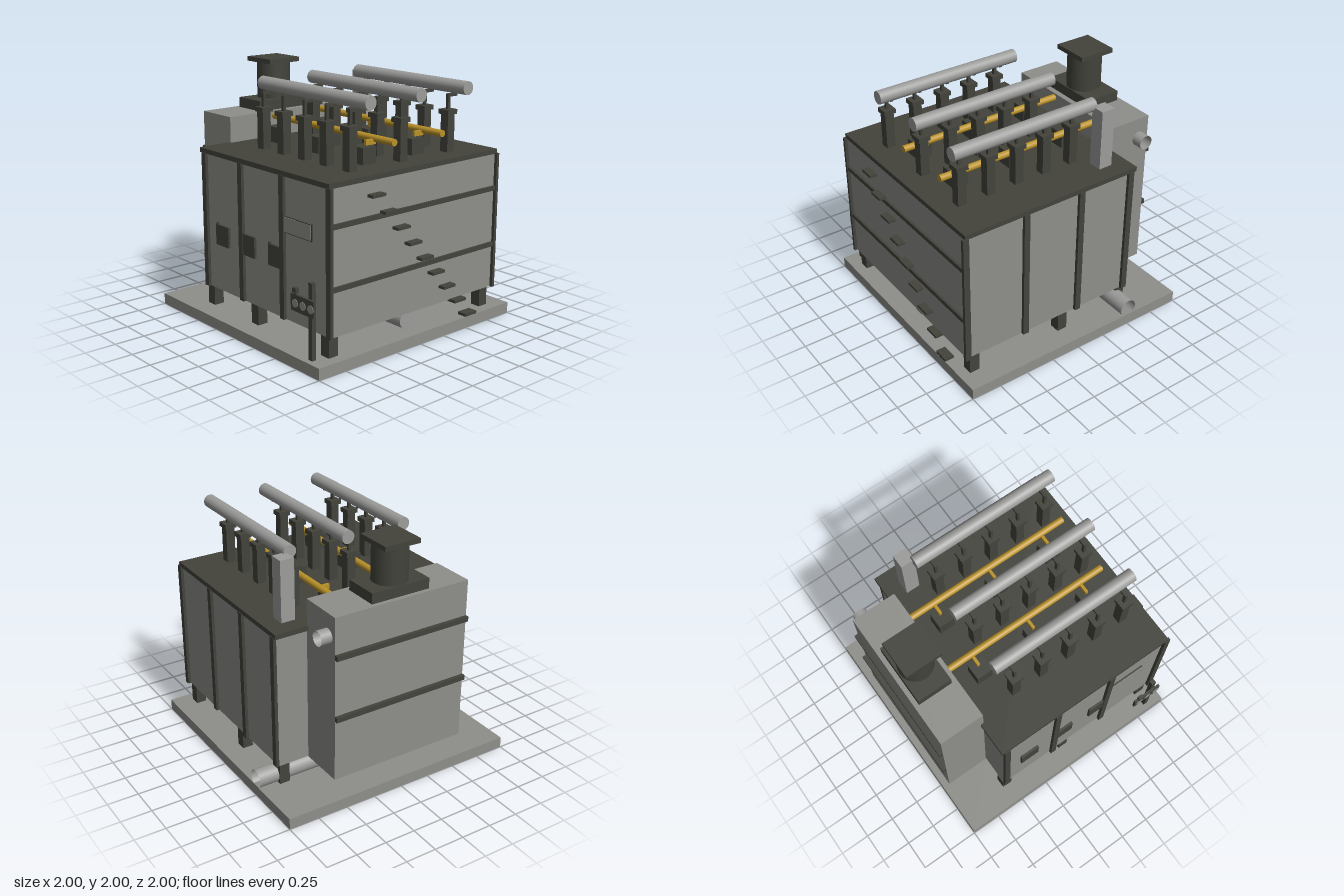
import * as THREE from 'three';

export function createModel() {
  const group = new THREE.Group();
  const mat = (name, color) => {
    const m = new THREE.MeshStandardMaterial({ color });
    m.name = name;
    return m;
  };
  const panel = mat('panelGrey', 0x8e8f8a);
  const dark = mat('darkSteel', 0x43433c);
  const pipe = mat('pipeGrey', 0x9c9d9b);
  const yellow = mat('yellowGas', 0xba9229);
  const openPipe = mat('openPipeGrey', 0x9c9d9b);
  openPipe.side = THREE.DoubleSide;

  const add = (name, geometry, material) => {
    const mesh = new THREE.Mesh(geometry, material);
    mesh.name = name;
    group.add(mesh);
    return mesh;
  };
  // Box given by its limits on each axis
  const box = (name, m, x0, x1, y0, y1, z0, z1) => {
    const mesh = add(name, new THREE.BoxGeometry(x1 - x0, y1 - y0, z1 - z0), m);
    mesh.position.set((x0 + x1) / 2, (y0 + y1) / 2, (z0 + z1) / 2);
    return mesh;
  };
  // Round tube along one axis, centred on x, y, z
  const tube = (name, m, axis, r, length, x, y, z, open = false) => {
    const g = new THREE.CylinderGeometry(r, r, length, 24, 1, open);
    if (axis === 'x') g.rotateZ(-Math.PI / 2);
    if (axis === 'z') g.rotateX(Math.PI / 2);
    const mesh = add(name, g, m);
    mesh.position.set(x, y, z);
    return mesh;
  };

  // Base: deck plate, dark underside and a three by three beam frame
  box('deck', panel, -1, 1, 0.075, 0.09, -1, 1);
  box('deckUnderside', dark, -0.97, 0.97, 0.066, 0.075, -0.97, 0.97);
  for (const s of [-1, 1]) {
    const a = s < 0 ? -1 : 0.965;
    box('edgeBeam', panel, a, a + 0.035, 0, 0.075, -1, 1);
    box('edgeBeam', panel, -0.965, 0.965, 0, 0.075, a, a + 0.035);
    const c = s * 0.33;
    box('crossBeam', panel, c - 0.02, c + 0.02, 0, 0.075, -0.965, 0.965);
    box('crossBeam', panel, -0.965, 0.965, 0.001, 0.075, c - 0.02, c + 0.02);
  }

  // Legs
  for (const x of [-0.5425, 0.04, 0.87]) {
    for (const z of [-0.793, 0.793]) {
      box('leg', dark, x - 0.0425, x + 0.0425, 0.062, 0.25, z - 0.0425, z + 0.0425);
    }
  }

  // Furnace housing, roof and wall stiffeners
  box('housing', panel, -0.58, 0.94, 0.25, 1.34, -0.84, 0.84);
  box('roof', dark, -0.61, 0.945, 1.34, 1.378, -0.86, 0.86);
  for (const s of [-1, 1]) {
    for (const x of [-0.56, -0.0875, 0.415, 0.94]) {
      box('wallPost', dark, x - 0.025, x + 0.025, 0.25, 1.345, s * 0.852 - 0.013, s * 0.852 + 0.013);
    }
  }
  for (const y of [0.61, 1.068]) {
    box('sideRail', dark, 0.93, 0.96, y - 0.018, y + 0.018, -0.84, 0.84);
  }

  // Inspection doors with small latches
  for (const x of [-0.3375, -0.0025, 0.3325]) {
    box('inspectionDoor', dark, x - 0.0825, x + 0.0825, 0.63, 0.795, 0.83, 0.86);
    box('doorLatch', dark, x - 0.078, x - 0.064, 0.795, 0.808, 0.83, 0.855);
  }
  // Blank identification plate
  box('plateBacking', dark, 0.44, 0.75, 0.92, 1.045, 0.835, 0.852);
  box('plateFace', panel, 0.44, 0.743, 0.927, 1.039, 0.85, 0.856);

  // Steps descending along the right wall
  for (let i = 0; i < 9; i++) {
    const y = 1.235 - i * 0.1417, z = 0.44 - i * 0.125;
    box('step', dark, 0.92, 1, y - 0.011, y + 0.011, z - 0.0625, z + 0.0625);
  }

  // Side flue cabinet with rails and a pipe stub
  box('flueCabinet', panel, -0.955, -0.585, 0.25, 1.585, -0.583, 0.583);
  for (const y of [0.775, 1.275]) {
    box('cabinetRail', dark, -0.985, -0.955, y - 0.02, y + 0.02, -0.583, 0.583);
  }
  tube('cabinetPipeStub', openPipe, 'z', 0.058, 0.1, -0.865, 1.41, -0.622, true);

  // Chimney
  box('chimneyBase', dark, -0.918, -0.63, 1.585, 1.668, -0.25, 0.25);
  tube('chimneyStack', dark, 'y', 0.138, 0.3, -0.773, 1.815, 0);
  box('chimneyCap', dark, -0.925, -0.62, 1.963, 2, -0.153, 0.153);

  // Vertical duct behind the roof pipes
  box('verticalDuct', pipe, -0.47, -0.355, 1.375, 1.865, -0.727, -0.612);

  // Three rows of roof burners feeding a header pipe
  for (const z of [-0.5, 0, 0.5]) {
    tube('headerPipe', pipe, 'x', 0.053, 1.245, 0.2475, 1.87, z - 0.09);
    for (let i = 0; i < 5; i++) {
      const x = -0.25 + i * 0.25;
      box('burnerColumn', dark, x - 0.037, x + 0.037, 1.375, 1.67, z - 0.037, z + 0.037);
      box('burnerCap', dark, x - 0.05, x + 0.05, 1.67, 1.707, z - 0.05, z + 0.05);
      box('burnerStem', dark, x - 0.012, x + 0.012, 1.707, 1.825, z - 0.012, z + 0.012);
      box('burnerElbow', dark, x - 0.012, x + 0.012, 1.801, 1.825, z - 0.09, z - 0.012);
    }
  }

  // Two yellow gas lines with valve blocks
  for (const z of [-0.25, 0.25]) {
    tube('gasLine', yellow, 'x', 0.027, 1.415, 0.1225, 1.545, z - 0.113);
    for (const x of [-0.38, 0.122, 0.62]) {
      box('valveBlock', dark, x - 0.066, x + 0.066, 1.375, 1.505, z - 0.066, z + 0.066);
      box('gasConnector', yellow, x - 0.012, x + 0.012, 1.503, 1.545, z - 0.113, z - 0.015);
    }
  }

  // Pipes under the housing
  tube('lowerPipe', pipe, 'x', 0.073, 1.28, 0.21, 0.152, 0);
  tube('outletPipe', openPipe, 'z', 0.073, 1.0, -0.503, 0.152, -0.5, true);

  // Control stand at the front corner
  box('standPost', dark, 0.833, 0.872, 0.09, 0.668, 0.92, 0.955);
  box('controlPanel', dark, 0.66, 0.915, 0.425, 0.55, 0.955, 0.975);
  box('controlButton', dark, 0.69, 0.73, 0.565, 0.602, 0.955, 0.985);
  box('buttonStem', dark, 0.7, 0.72, 0.55, 0.565, 0.957, 0.973);
  for (const x of [0.71, 0.795, 0.88]) {
    tube('gauge', panel, 'z', 0.032, 0.006, x, 0.486, 0.976);
  }

  return group;
}
